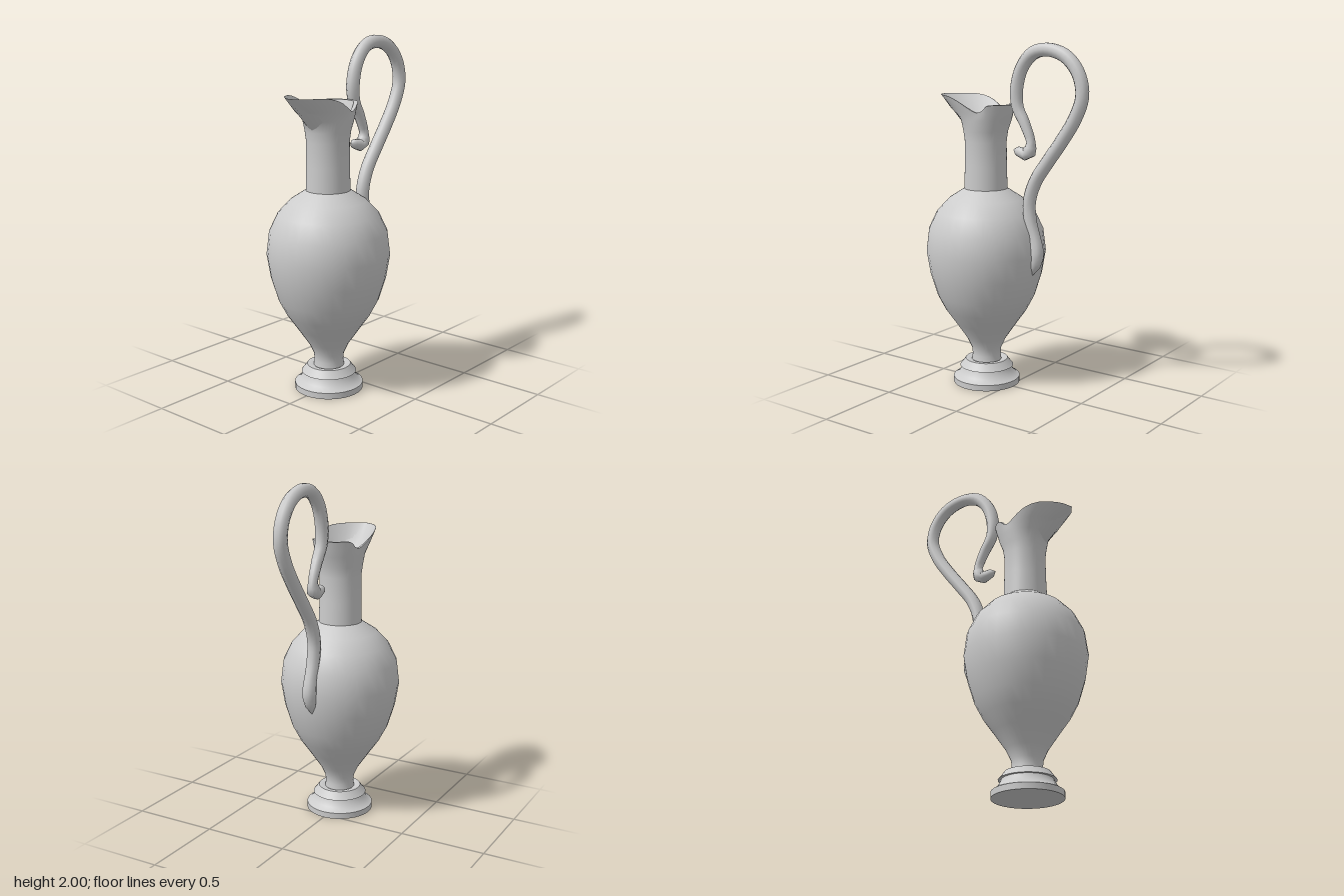
import * as THREE from 'three';
import { toCreasedNormals } from 'three/addons/utils/BufferGeometryUtils.js';

const AXIS_Z = 0.165; // the vessel stands forward of the origin, the handle behind it
const V3 = (x, y, z) => new THREE.Vector3(x, y, z);
const material = new THREE.MeshStandardMaterial({ color: 0xcccccc, side: THREE.DoubleSide });

function addMesh(group, name, geometry, crease) {
  const mesh = new THREE.Mesh(toCreasedNormals(geometry, crease), material);
  mesh.name = name;
  group.add(mesh);
  return mesh;
}

// Turned part from [radius, y] pairs, bottom to top
function turned(group, name, profile, crease) {
  const points = profile.map(([r, y]) => new THREE.Vector2(r, y));
  addMesh(group, name, new THREE.LatheGeometry(points, 32), crease).position.z = AXIS_Z;
}

// Surface through closed rings of equal length, all in the same order
function loft(rings) {
  const n = rings[0].length;
  const index = [];
  for (let j = 0; j < rings.length - 1; j++) {
    for (let i = 0; i < n; i++) {
      const a = j * n + i, b = j * n + ((i + 1) % n);
      index.push(a, b, b + n, a, b + n, a + n);
    }
  }
  const geometry = new THREE.BufferGeometry().setFromPoints(rings.flat());
  geometry.setIndex(index);
  return geometry;
}

// Neck widening into a pouring lip, then folding inward to the throat
function neckGeometry() {
  const N = 48;
  const around = (fn) => Array.from({ length: N }, (_, i) => fn(i));
  const ellipse = (y, rx, rz = rx, z = AXIS_Z) => around((i) => {
    const a = (i / N) * Math.PI * 2;
    return V3(rx * Math.sin(a), y, z + rz * Math.cos(a));
  });
  const blend = (a, b, t) => a.map((p, i) => p.clone().lerp(b[i], t));

  // One half of the rim, from the spout tip past the side notch to the back
  const half = new THREE.CatmullRomCurve3([
    V3(0, 1.7, 0.475), V3(0.065, 1.7, 0.44), V3(0.115, 1.7, 0.38), V3(0.15, 1.695, 0.31),
    V3(0.162, 1.67, 0.235), V3(0.152, 1.63, 0.165), V3(0.14, 1.612, 0.125),
    V3(0.132, 1.625, 0.09), V3(0.128, 1.65, 0.065), V3(0.095, 1.655, 0.025),
    V3(0.05, 1.655, -0.005), V3(0, 1.655, -0.015),
  ]);
  const rim = around((i) => {
    const u = i / N;
    const p = half.getPoint(u <= 0.5 ? 2 * u : 2 - 2 * u);
    if (u > 0.5) p.x = -p.x;
    return p;
  });
  // The wall is thin at the spout and thicker at the back
  const innerRim = rim.map((p) => {
    const wall = THREE.MathUtils.clamp((0.25 - p.z) * 0.12, 0.003, 0.024);
    const inward = V3(-p.x, 0, AXIS_Z - p.z).normalize();
    return p.clone().addScaledVector(inward, wall);
  });
  const shoulder = ellipse(1.565, 0.14, 0.148, 0.16);
  const flare = blend(shoulder, rim, 0.5);
  flare.forEach((p) => { p.y -= Math.max(0, p.z - AXIS_Z) * 0.06; });
  const throat = ellipse(1.45, 0.05, 0.077, 0.157);

  return loft([
    ellipse(1.165, 0.125), ellipse(1.3, 0.121), ellipse(1.44, 0.12), ellipse(1.5, 0.128),
    shoulder, flare, rim, innerRim, blend(innerRim, throat, 0.5), throat,
    ellipse(1.38, 0, 0, 0.157),
  ]);
}

// Round bar along a curve whose thickness follows [t, factor] keys
function taperedTube(curve, segments, sides, radius, keys) {
  const geometry = new THREE.TubeGeometry(curve, segments, radius, sides);
  const position = geometry.attributes.position;
  const p = new THREE.Vector3();
  for (let i = 0; i <= segments; i++) {
    const t = i / segments;
    const k = Math.max(1, keys.findIndex((key) => key[0] >= t));
    const [t0, f0] = keys[k - 1], [t1, f1] = keys[k];
    const factor = THREE.MathUtils.mapLinear(t, t0, t1, f0, f1);
    const centre = curve.getPointAt(t);
    for (let j = 0; j <= sides; j++) {
      const v = i * (sides + 1) + j;
      p.fromBufferAttribute(position, v).sub(centre).multiplyScalar(factor).add(centre);
      position.setXYZ(v, p.x, p.y, p.z);
    }
  }
  return geometry;
}

export function createModel() {
  const model = new THREE.Group();
  model.name = 'ewer';

  // Stepped foot
  turned(model, 'foot', [
    [0, 0], [0.197, 0], [0.197, 0.035], [0.187, 0.04], [0.165, 0.058], [0.147, 0.085],
    [0.142, 0.1], [0.158, 0.1], [0.143, 0.118], [0.125, 0.143], [0.1, 0.143], [0.08, 0.135],
  ], 0.6);

  // Egg-shaped body on a slim stem
  turned(model, 'body', [
    [0.088, 0.135], [0.083, 0.17], [0.087, 0.21], [0.115, 0.27], [0.18, 0.365], [0.24, 0.45],
    [0.287, 0.54], [0.327, 0.67], [0.349, 0.805], [0.333, 0.935], [0.285, 1.035],
    [0.215, 1.11], [0.125, 1.168],
  ], 1.0);

  addMesh(model, 'neckAndLip', neckGeometry(), 0.8);

  // Handle: curled tip behind the neck, high loop, then down onto the body
  const path = new THREE.CatmullRomCurve3([
    [-0.03, 1.405], [-0.075, 1.395], [-0.125, 1.385], [-0.15, 1.44], [-0.107, 1.555],
    [-0.06, 1.64], [-0.05, 1.735], [-0.085, 1.86], [-0.16, 1.942], [-0.26, 1.963],
    [-0.375, 1.927], [-0.455, 1.835], [-0.478, 1.72], [-0.435, 1.6], [-0.35, 1.47],
    [-0.26, 1.35], [-0.18, 1.235], [-0.14, 1.115], [-0.15, 1.0], [-0.183, 0.89],
    [-0.193, 0.82], [-0.18, 0.75], [-0.163, 0.69],
  ].map(([z, y]) => V3(0, y, z)));
  addMesh(model, 'handle', taperedTube(path, 80, 10, 0.038, [
    [0, 0], [0.008, 0.65], [0.03, 0.85], [0.05, 1.05], [0.075, 0.7], [0.13, 0.85], [0.2, 1],
    [0.85, 1], [0.9, 0.95], [0.945, 1.1], [0.975, 0.8], [1, 0],
  ]), 1.2);

  return model;
}
